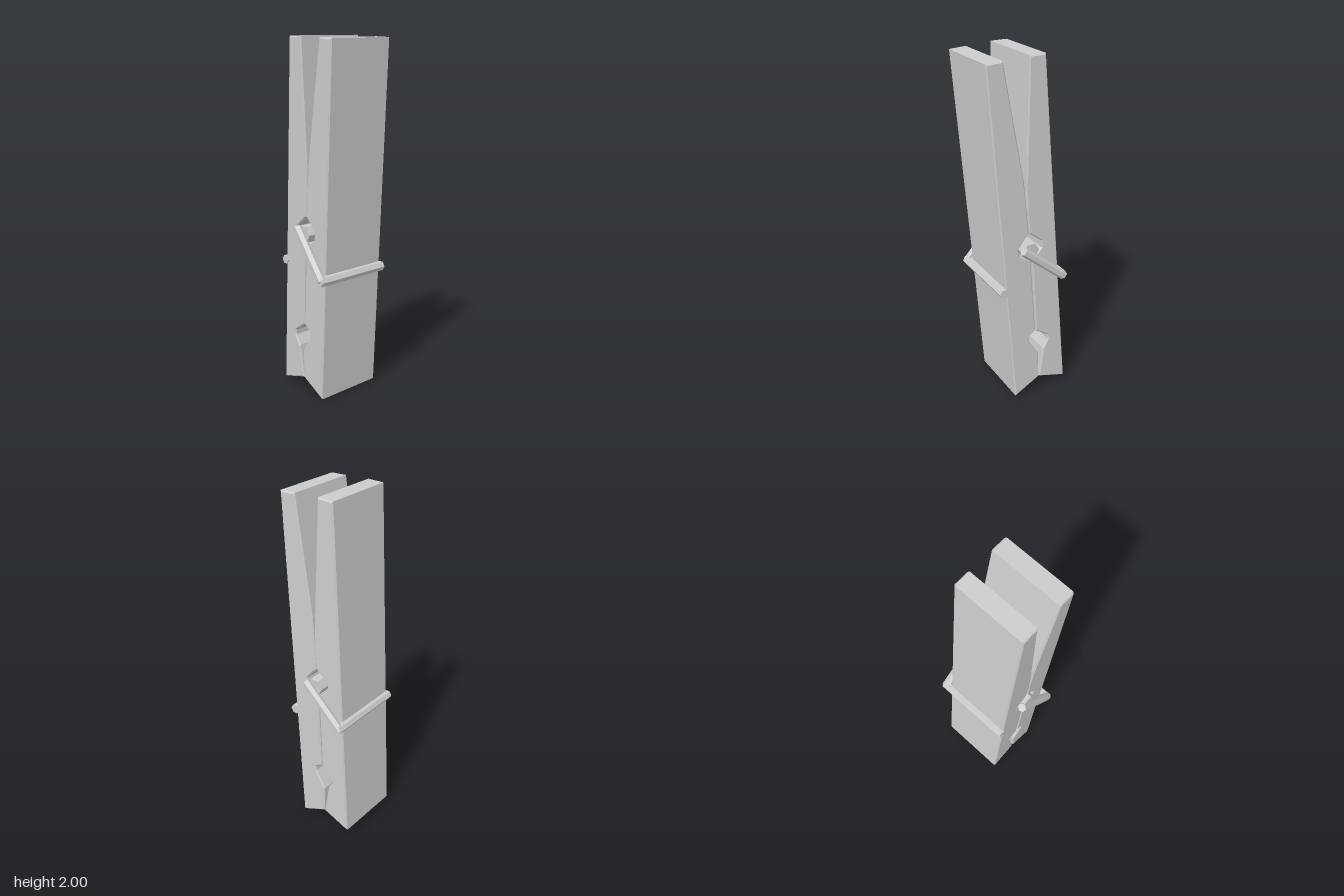
import * as THREE from 'three';

const material = new THREE.MeshStandardMaterial({ color: 0xcccccc, flatShading: true });
const WIDTH = 0.405;
const BEVEL = 0.007;

// Wooden leg: a [z, y] side profile extruded across x, leaning slightly sideways
function leg(name, profile) {
  const shape = new THREE.Shape(profile.map(([z, y]) => new THREE.Vector2(-z, y)));
  const geometry = new THREE.ExtrudeGeometry(shape, {
    depth: WIDTH - 2 * BEVEL,
    bevelThickness: BEVEL,
    bevelSize: BEVEL,
    bevelOffset: -BEVEL,
    bevelSegments: 1,
  });
  geometry.translate(0, 0, BEVEL - WIDTH / 2).rotateY(Math.PI / 2);
  const p = geometry.attributes.position;
  for (let i = 0; i < p.count; i++) {
    const x = p.getX(i), y = p.getY(i);
    p.setXY(i, x + 0.02 - 0.025 * y, y + 0.02 * x);
  }
  geometry.computeVertexNormals();
  const mesh = new THREE.Mesh(geometry, material);
  mesh.name = name;
  return mesh;
}

// Straight six-sided length of wire between two points
function rod(name, from, to, radius, overlap = 0.012) {
  const a = new THREE.Vector3(...from), b = new THREE.Vector3(...to);
  const direction = b.clone().sub(a);
  const geometry = new THREE.CylinderGeometry(radius, radius, direction.length() + 2 * overlap, 6);
  const mesh = new THREE.Mesh(geometry, material);
  mesh.name = name;
  mesh.position.copy(a).add(b).multiplyScalar(0.5);
  mesh.quaternion.setFromUnitVectors(new THREE.Vector3(0, 1, 0), direction.normalize());
  return mesh;
}

export function createModel() {
  const model = new THREE.Group();
  model.name = 'clothespin';

  // Two legs with matching notches for the spring and the line
  model.add(leg('frontLeg', [
    [0.237, 1.985], [0.143, 1.99], [0.03, 1.35], [0.003, 1.05], [0.07, 0.97],
    [0.06, 0.93], [-0.008, 0.885], [-0.038, 0.42], [0.005, 0.39], [0.003, 0.36],
    [-0.06, 0.255], [-0.062, 0.09], [0.097, 0.008],
  ]));
  model.add(leg('backLeg', [
    [-0.003, 2], [-0.097, 2], [-0.237, 0.035], [-0.064, 0.09], [-0.09, 0.28],
    [-0.122, 0.335], [-0.12, 0.365], [-0.042, 0.42], [-0.016, 0.885], [-0.075, 0.95],
    [-0.075, 0.99], [0, 1.05], [0.015, 1.18], [0.016, 1.35],
  ]));

  // Spring: coil through the notch, one arm and bar around each leg
  const spring = new THREE.Group();
  spring.name = 'spring';
  spring.add(
    rod('coil', [-0.225, 0.955, 0], [0.215, 0.955, 0], 0.05, 0),
    rod('leftArm', [-0.226, 0.975, -0.045], [-0.238, 0.735, 0.158], 0.025),
    rod('frontBar', [-0.238, 0.725, 0.16], [0.195, 0.73, 0.16], 0.028),
    rod('rightArm', [0.228, 0.968, 0.045], [0.236, 0.772, -0.187], 0.025),
    rod('backBar', [0.236, 0.772, -0.19], [-0.195, 0.768, -0.19], 0.026),
  );
  model.add(spring);
  return model;
}
